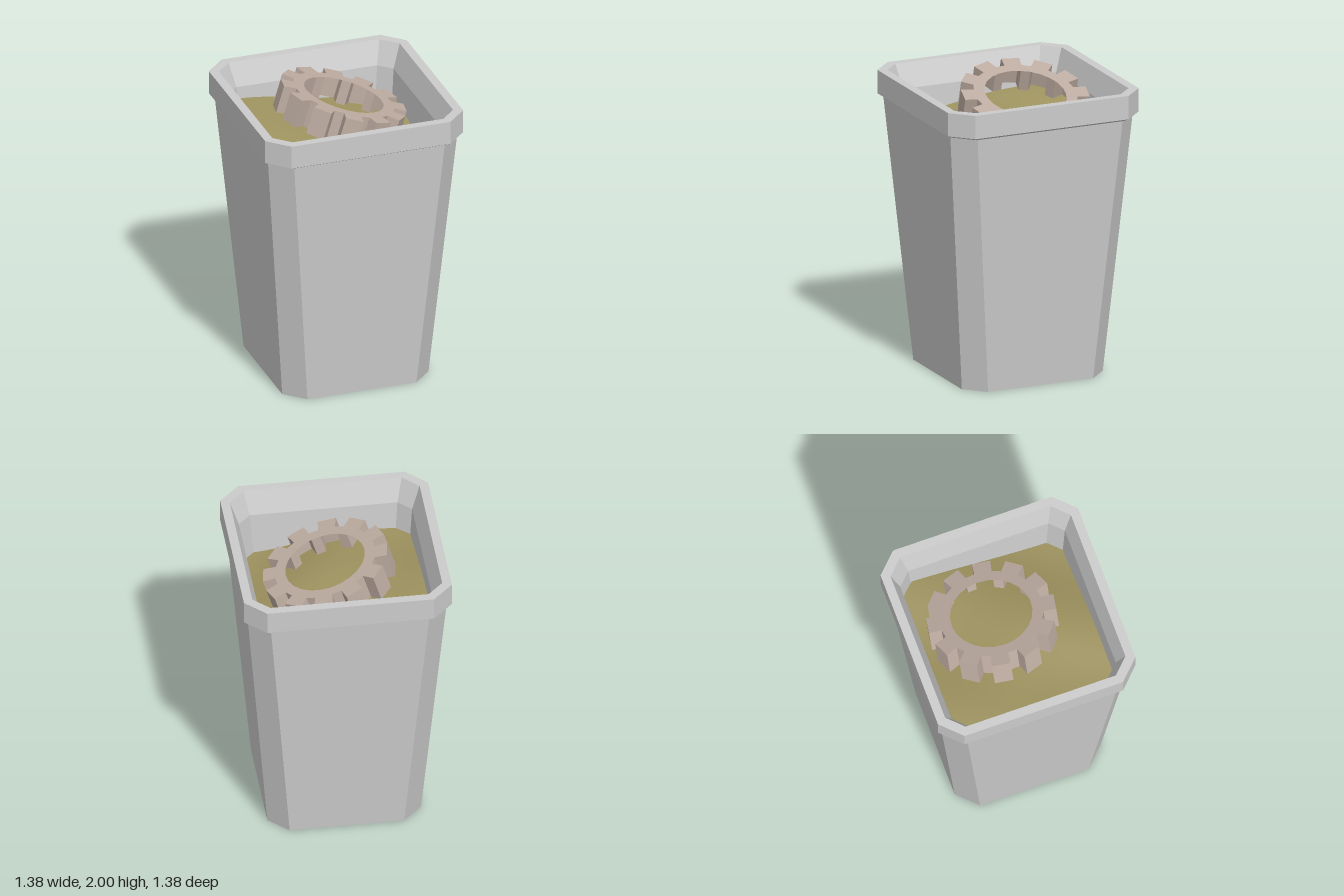
import * as THREE from 'three';

const grey = new THREE.MeshStandardMaterial({ color: 0xcccccc, flatShading: true });
const rust = new THREE.MeshStandardMaterial({ color: 0xbdaca1, flatShading: true, side: THREE.DoubleSide });
const sludge = new THREE.MeshStandardMaterial({ color: 0x9f9460, side: THREE.DoubleSide });

function named(name, geometry, material) {
  const mesh = new THREE.Mesh(geometry, material);
  mesh.name = name;
  return mesh;
}

// Square ring with cut corners: h is the half width, c where the cut begins
const ring = (h, c, y) => [
  [h, -c], [h, c], [c, h], [-c, h], [-h, c], [-h, -c], [-c, -h], [c, -h],
].map(([x, z]) => [x, y, z]);

// Joins successive closed rings with flat-shaded quads
function loft(rings) {
  const pos = [];
  for (let i = 0; i < rings.length - 1; i++) {
    const lo = rings[i], hi = rings[i + 1], n = lo.length;
    for (let j = 0; j < n; j++) {
      const k = (j + 1) % n;
      pos.push(...lo[j], ...hi[j], ...hi[k], ...lo[j], ...hi[k], ...lo[k]);
    }
  }
  const geo = new THREE.BufferGeometry();
  geo.setAttribute('position', new THREE.Float32BufferAttribute(pos, 3));
  geo.computeVertexNormals();
  return geo;
}

// Cog: toothed top plate with a round hole, and an outer skirt
function createCog() {
  const teeth = 12, root = 0.345, tip = 0.43, depth = 0.19;
  const points = [];
  for (let i = 0; i < teeth; i++) {
    const a = THREE.MathUtils.degToRad(80 + i * 360 / teeth);
    for (const [r, d] of [[root, -0.17], [tip, -0.145], [tip, 0.145], [root, 0.17]]) {
      points.push(new THREE.Vector2(r * Math.cos(a + d), r * Math.sin(a + d)));
    }
  }
  const shape = new THREE.Shape(points);
  const hole = new THREE.Path();
  hole.absarc(0, 0, 0.273, 0, Math.PI * 2, true);
  shape.holes.push(hole);
  const top = new THREE.ShapeGeometry(shape, 12).rotateX(-Math.PI / 2);
  const outline = (y) => points.map((p) => [p.x, y, -p.y]).reverse();

  const cog = new THREE.Group();
  cog.name = 'cog';
  cog.add(named('cogTop', top, rust));
  cog.add(named('cogTeeth', loft([outline(-depth), outline(0)]), rust));
  cog.position.set(0.085, 1.875, -0.087);
  cog.rotation.z = THREE.MathUtils.degToRad(-17);
  return cog;
}

// Uneven contents, higher towards the back left of the top opening
function createContents() {
  const half = 0.562, cut = 1.035;
  const geo = new THREE.PlaneGeometry(2 * half, 2 * half, 24, 24).rotateX(-Math.PI / 2);
  const p = geo.attributes.position;
  for (let i = 0; i < p.count; i++) {
    let x = p.getX(i), z = p.getZ(i);
    const s = Math.min(1, cut / (Math.abs(x) + Math.abs(z) || 1));
    x *= s;
    z *= s;
    const mound = 0.06 * Math.exp(-6 * ((x + 0.15) ** 2 + z * z));
    const y = 1.61 - 0.09 * x - 0.08 * z + mound + 0.02 * Math.sin(6 * x + 4 * z);
    p.setXYZ(i, x, y, z);
  }
  geo.computeVertexNormals();
  return named('contents', geo, sludge);
}

export function createModel() {
  const model = new THREE.Group();
  model.name = 'bin';

  // Tapered body with a closed base
  model.add(named('body', loft([
    ring(0, 0, 0), ring(0.51, 0.38, 0), ring(0.66, 0.525, 1.785),
  ]), grey));

  // Overhanging rim, running over into the inner wall
  model.add(named('rim', loft([
    ring(0.655, 0.525, 1.78), ring(0.69, 0.553, 1.8), ring(0.69, 0.553, 1.96),
    ring(0.63, 0.525, 1.96), ring(0.575, 0.49, 1.8), ring(0.545, 0.462, 1.4),
  ]), grey));

  model.add(createContents(), createCog());
  return model;
}
